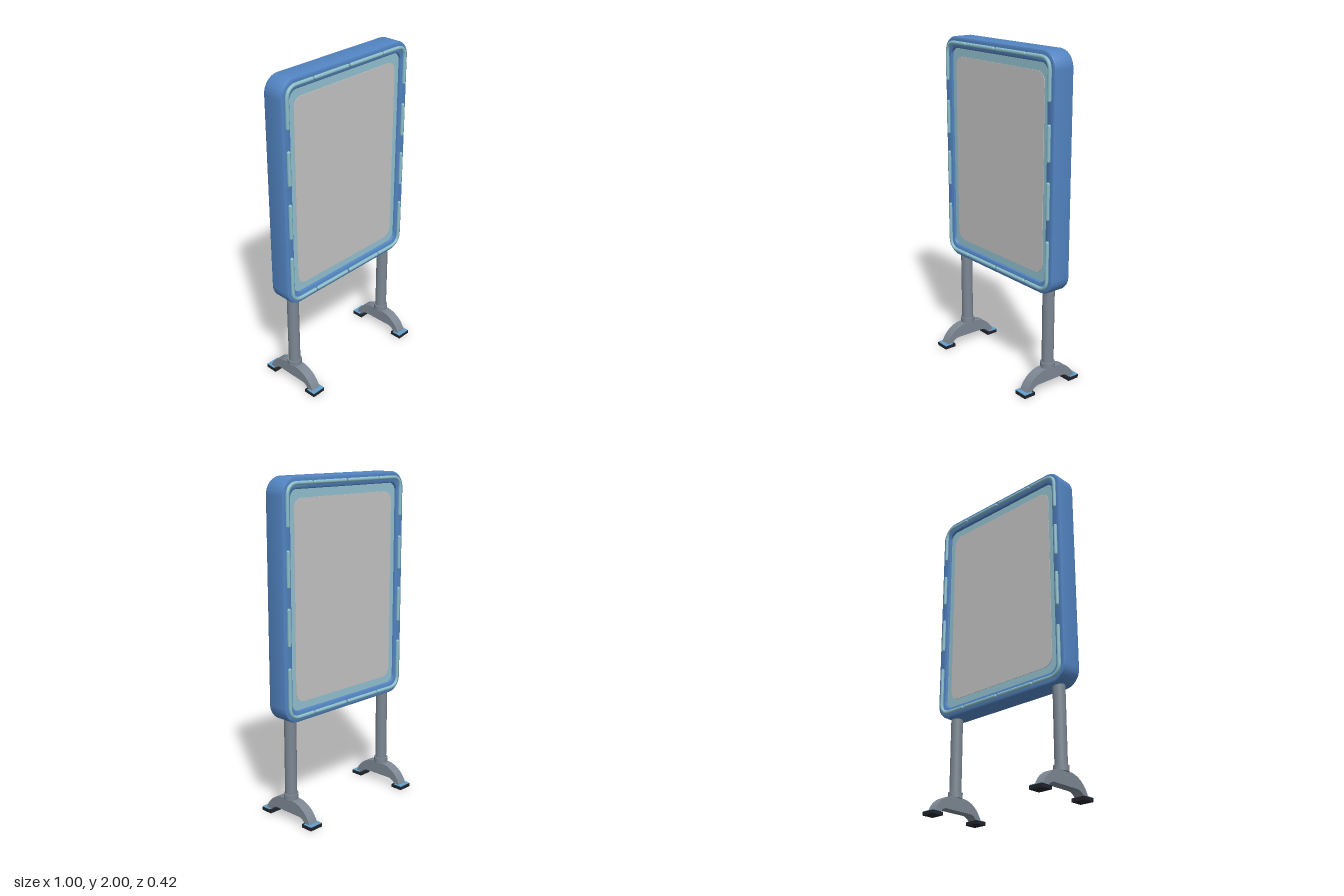
import * as THREE from 'three';
import { toCreasedNormals } from 'three/addons/utils/BufferGeometryUtils.js';

const mat = (name, color, extra = {}) => {
  const m = new THREE.MeshStandardMaterial({ color, ...extra });
  m.name = name;
  return m;
};

// Rounded rectangle outline from corner coordinates
function roundRect(x, y0, y1, r, Type = THREE.Shape) {
  const s = new Type();
  s.moveTo(x, y0 + r);
  s.lineTo(x, y1 - r);
  s.absarc(x - r, y1 - r, r, 0, Math.PI / 2);
  s.lineTo(-x + r, y1);
  s.absarc(-x + r, y1 - r, r, Math.PI / 2, Math.PI);
  s.lineTo(-x, y0 + r);
  s.absarc(-x + r, y0 + r, r, Math.PI, Math.PI * 1.5);
  s.lineTo(x - r, y0);
  s.absarc(x - r, y0 + r, r, Math.PI * 1.5, Math.PI * 2);
  return s;
}

export function createModel() {
  const blue = mat('frameBlue', 0x5284c2);
  const teal = mat('borderTeal', 0x92c2d0);
  const grey = mat('panelGrey', 0xc4c4c6);
  const tubeMat = mat('lightTube', 0x8cc0cc);
  const metal = mat('metalGrey', 0x7c8793);
  const rubber = mat('rubberDark', 0x22242c);
  const padBlue = mat('padBlue', 0x62a0cc);

  const root = new THREE.Group();
  const add = (name, geo, material, parent = root, x = 0, y = 0, z = 0) => {
    const m = new THREE.Mesh(geo, material);
    m.name = name;
    m.position.set(x, y, z);
    parent.add(m);
    return m;
  };

  // Frame ring with softened edges
  const ring = roundRect(0.5, 0.615, 2, 0.1);
  ring.holes.push(roundRect(0.438, 0.682, 1.932, 0.05, THREE.Path));
  const frameGeo = new THREE.ExtrudeGeometry(ring, {
    depth: 0.112, bevelEnabled: true, bevelThickness: 0.012, bevelSize: 0.012,
    bevelOffset: -0.012, bevelSegments: 2, curveSegments: 10,
  });
  frameGeo.translate(0, 0, -0.056);
  add('frame', toCreasedNormals(frameGeo, 0.6), blue);

  // Display slab, its border showing round the grey poster on each side
  const slab = new THREE.ExtrudeGeometry(roundRect(0.455, 0.668, 1.946, 0.06),
    { depth: 0.104, bevelEnabled: false, curveSegments: 8 });
  slab.translate(0, 0, -0.052);
  add('displayBorder', toCreasedNormals(slab, 0.6), teal);
  const poster = new THREE.ExtrudeGeometry(roundRect(0.402, 0.728, 1.884, 0.06),
    { depth: 0.004, bevelEnabled: false, curveSegments: 8 });
  add('posterFront', poster, grey, root, 0, 0, 0.051);
  add('posterBack', poster, grey, root, 0, 0, -0.055);

  // Segmented light tubes along the frame, on both faces
  const TX = 0.466, T0 = 0.65, T1 = 1.965, R = 0.07, rad = 0.011;
  const cap = new THREE.SphereGeometry(rad, 8, 6);
  const tube = (pts, z, name) => {
    const path = new THREE.CurvePath();
    const v = pts.map(([x, y]) => new THREE.Vector3(x, y, z));
    if (v.length === 2) path.add(new THREE.LineCurve3(v[0], v[1]));
    else {
      // end, bend start, corner, bend finish, end
      path.add(new THREE.LineCurve3(v[0], v[1]));
      path.add(new THREE.QuadraticBezierCurve3(v[1], v[2], v[3]));
      path.add(new THREE.LineCurve3(v[3], v[4]));
    }
    const g = new THREE.Group();
    g.name = name;
    add('tube', new THREE.TubeGeometry(path, v.length === 2 ? 2 : 30, rad, 8), tubeMat, g);
    for (const p of [v[0], v[v.length - 1]]) add('tubeEnd', cap, tubeMat, g, p.x, p.y, p.z);
    root.add(g);
  };
  for (const z of [0.074, -0.072]) {
    for (const s of [1, -1]) {
      const x = s * TX;
      for (const [y, end, d] of [[T1, 1.74, -1], [T0, 0.94, 1]]) {
        tube([[x, end], [x, y + d * R], [x, y], [x - s * R, y], [s * 0.285, y]], z, 'cornerLightTube');
        tube([[s * 0.015, y], [s * 0.26, y]], z, 'horizontalLightTube');
      }
      for (const [a, b] of [[1.41, 1.6], [1.08, 1.28]])
        tube([[x, a], [x, b]], z, 'verticalLightTube');
    }
  }

  // Arched foot profile, drawn in z and y
  const arch = new THREE.Shape();
  arch.moveTo(-0.185, 0.02);
  arch.bezierCurveTo(-0.165, 0.075, -0.12, 0.12, -0.05, 0.13);
  arch.lineTo(0.05, 0.13);
  arch.bezierCurveTo(0.12, 0.12, 0.165, 0.075, 0.185, 0.02);
  arch.lineTo(0.145, 0.02);
  arch.quadraticCurveTo(0.13, 0.045, 0.1, 0.05);
  arch.lineTo(-0.1, 0.05);
  arch.quadraticCurveTo(-0.13, 0.045, -0.145, 0.02);
  arch.closePath();
  const archGeo = new THREE.ExtrudeGeometry(arch, { depth: 0.062, bevelEnabled: false, curveSegments: 10 });
  archGeo.translate(0, 0, -0.031);
  archGeo.rotateY(-Math.PI / 2);
  const footGeo = toCreasedNormals(archGeo, 0.6);

  // Legs: post, collar, arched foot and pads
  for (const s of [1, -1]) {
    const leg = new THREE.Group();
    leg.name = s > 0 ? 'leftLeg' : 'rightLeg';
    leg.position.x = s * 0.402;
    root.add(leg);
    add('post', new THREE.CylinderGeometry(0.036, 0.036, 0.5, 20), metal, leg, 0, 0.39, 0);
    add('collar', new THREE.CylinderGeometry(0.044, 0.044, 0.035, 20), metal, leg, 0, 0.145, 0);
    add('foot', footGeo, metal, leg);
    for (const d of [1, -1]) {
      add('footPad', new THREE.BoxGeometry(0.088, 0.021, 0.076), rubber, leg, 0, 0.0105, d * 0.172);
      add('padTop', new THREE.BoxGeometry(0.086, 0.004, 0.058), padBlue, leg, 0, 0.0225, d * 0.18);
    }
  }
  return root;
}
